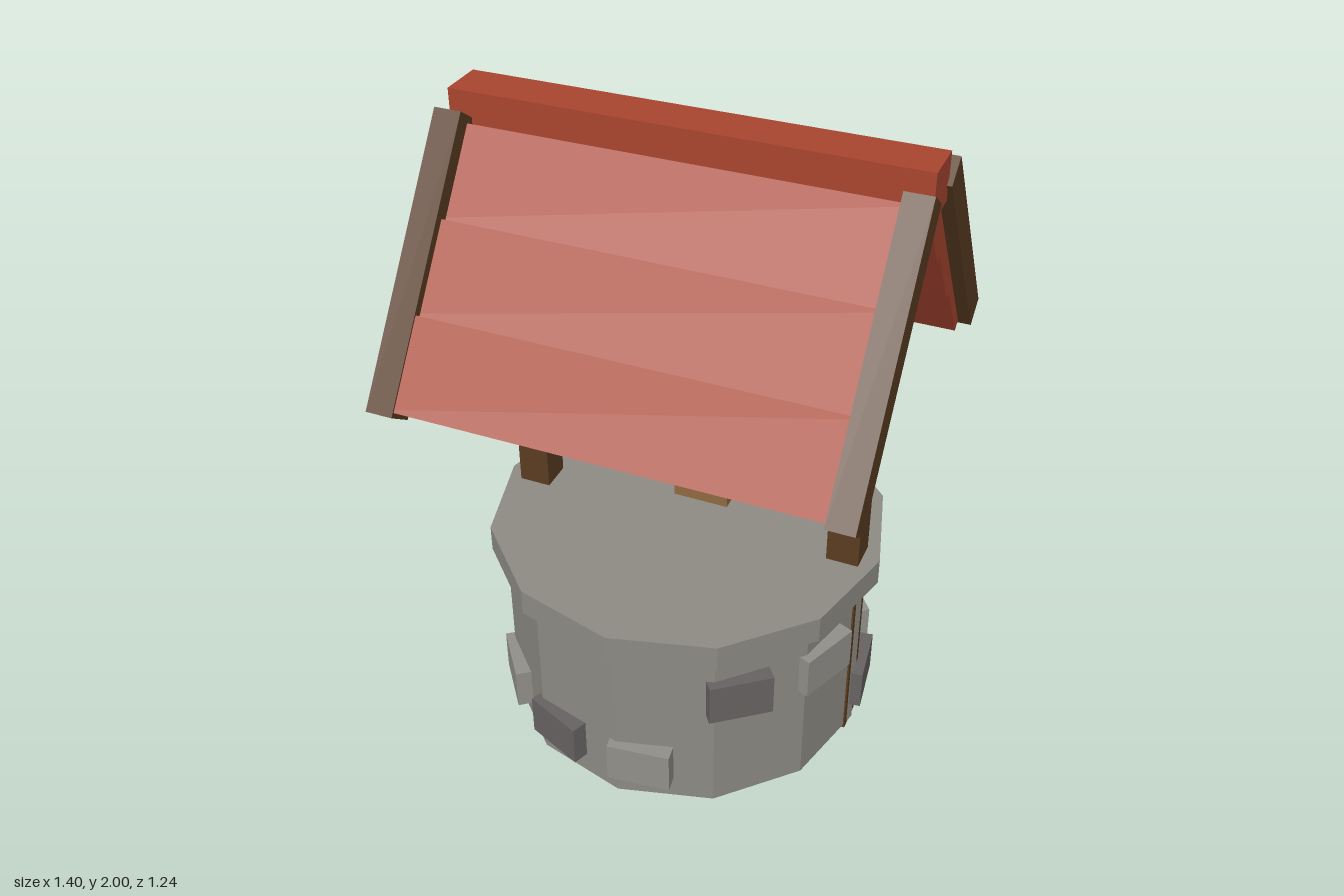
import * as THREE from 'three';

const mat = (name, color) => {
  const m = new THREE.MeshStandardMaterial({ color });
  m.name = name;
  m.flatShading = true;
  return m;
};

export function createModel() {
  const group = new THREE.Group();
  group.name = 'wishingWell';
  const masonry = mat('masonry grey', 0x8c8a83);
  const paleStone = mat('pale stone', 0x918f89);
  const darkStone = mat('dark stone', 0x676262);
  const darkWood = mat('dark wood', 0x5a3c21);
  const lightWood = mat('light wood', 0x8f6840);
  const roofRed = mat('roof red', 0xa8452f);

  const add = (parent, name, geometry, material, x = 0, y = 0, z = 0) => {
    const mesh = new THREE.Mesh(geometry, material);
    mesh.name = name;
    mesh.position.set(x, y, z);
    parent.add(mesh);
    return mesh;
  };
  const box = (w, h, d) => new THREE.BoxGeometry(w, h, d);

  // Round twelve-sided wall and its capping rim
  add(group, 'wall', new THREE.CylinderGeometry(0.573, 0.573, 0.6, 12), masonry, 0, 0.31, 0);
  add(group, 'rim', new THREE.CylinderGeometry(0.618, 0.618, 0.085, 12), masonry, 0, 0.6425, 0);

  // Raised stones around the wall: [angle in degrees, row height, colour]
  const low = 0.152, high = 0.44;
  const stones = [
    [7.5, low, paleStone], [37.5, high, darkStone], [67.5, high, paleStone],
    [97.5, low, darkStone], [127.5, low, paleStone], [157.5, low, darkStone],
    [187.5, high, paleStone], [217.5, low, darkStone], [277.5, high, darkStone],
    [307.5, low, paleStone], [337.5, low, darkStone],
  ];
  for (const [deg, y, material] of stones) {
    const a = THREE.MathUtils.degToRad(deg);
    const stone = add(group, 'wallStone', box(0.195, 0.137, 0.05), material,
      0.57 * Math.sin(a), y, 0.57 * Math.cos(a));
    stone.rotation.y = a;
  }

  // Posts and triangular gable boards at both ends
  const tri = new THREE.Shape([
    new THREE.Vector2(-0.357, 1.37), new THREE.Vector2(0.357, 1.37), new THREE.Vector2(0, 1.832),
  ]);
  const gable = new THREE.ExtrudeGeometry(tri, { depth: 0.02, bevelEnabled: false });
  gable.translate(0, 0, -0.01).rotateY(Math.PI / 2);
  for (const s of [-1, 1]) {
    add(group, 'post', box(0.1, 1.365, 0.1), darkWood, s * 0.515, 0.6825, 0);
    add(group, 'gable', gable, lightWood, s * 0.515, 0, 0);
  }

  // Winding axle and bucket
  const axle = add(group, 'axle', new THREE.CylinderGeometry(0.048, 0.048, 1.144, 8), darkWood, 0, 1.197, 0);
  axle.rotation.z = Math.PI / 2;
  add(group, 'bucket', box(0.17, 0.175, 0.17), lightWood, 0.072, 0.9, 0);

  // Roof slopes: local +z runs down the slope, local +y points outward
  const pitch = Math.atan2(0.811, 0.585);
  for (const turn of [0, Math.PI]) {
    const side = new THREE.Group();
    side.name = turn ? 'backRoof' : 'frontRoof';
    side.rotation.y = turn;
    const slope = new THREE.Group();
    slope.name = 'slope';
    slope.position.set(0, 1.593, 0.336);
    slope.rotation.x = pitch;
    side.add(slope);
    group.add(side);
    // Each lower plank sits a little further out than the one above
    for (let i = 0; i < 3; i++) {
      add(slope, 'roofPlank', box(1.32, 0.12, 0.272), roofRed, 0, -0.064 + i * 0.022, -0.268 + i * 0.271);
    }
    for (const s of [-1, 1]) {
      add(slope, 'edgeTrim', box(0.082, 0.09, 0.85), darkWood, s * 0.658, 0, 0);
    }
  }

  // Ridge beam
  add(group, 'ridge', box(1.37, 0.14, 0.14), roofRed, 0, 1.93, 0);
  return group;
}
